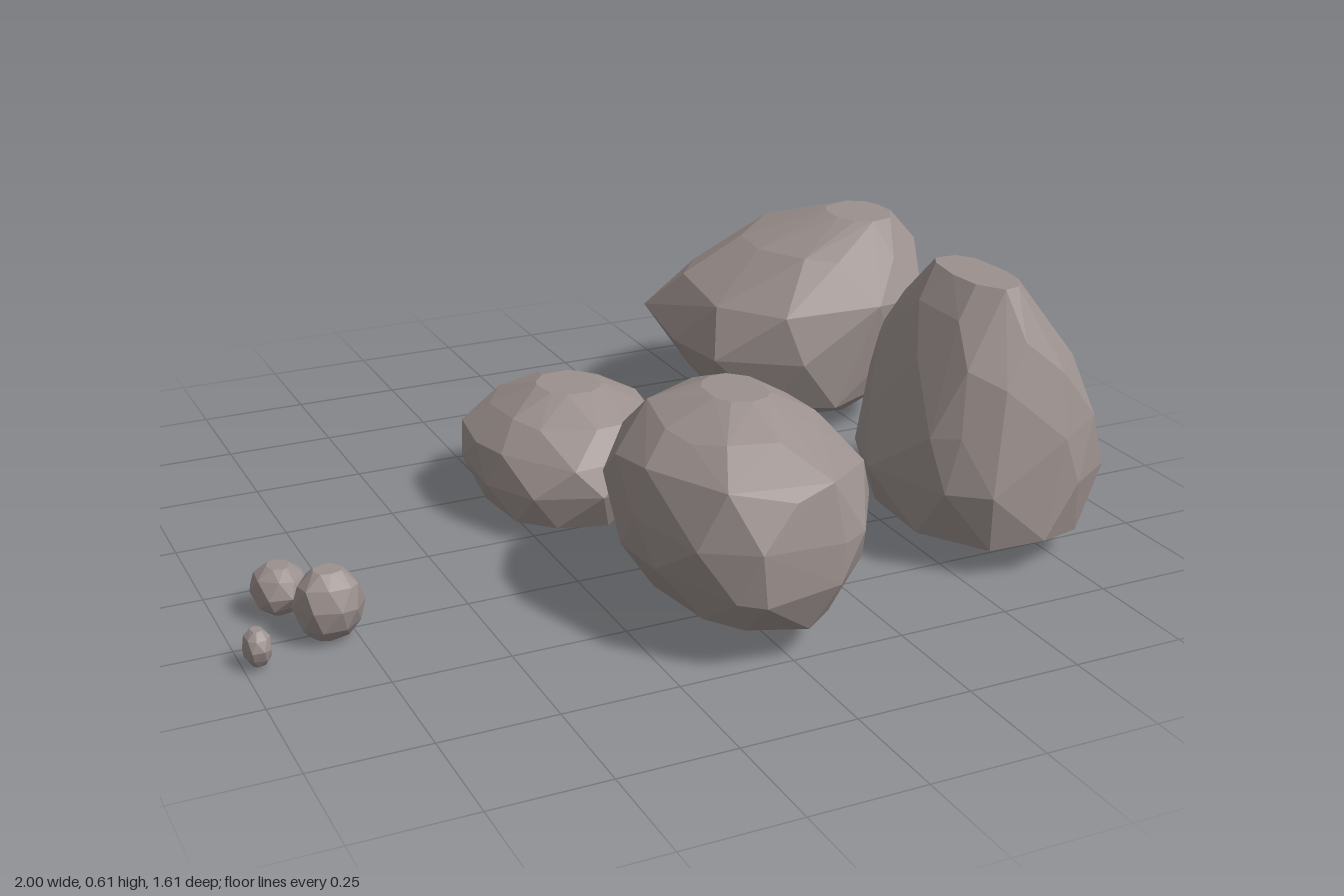
import * as THREE from 'three';
import { ConvexGeometry } from 'three/addons/geometries/ConvexGeometry.js';

const stone = new THREE.MeshStandardMaterial({ color: 0x9b908d, flatShading: true });

function seeded(seed) {
  let s = seed * 7919 + 17;
  return () => (s = (s * 16807) % 2147483647) / 2147483647;
}

// Faceted rock: hull around uneven rings, each ring is [y, xMin, xMax, zMin, zMax]
function rock(name, seed, rings, sides = 11, corners = []) {
  const rand = seeded(seed);
  const points = corners.map((c) => new THREE.Vector3(...c));
  const bounds = new THREE.Box3();
  const bulge = (v) => Math.sign(v) * Math.abs(v) ** 0.88;
  rings.forEach(([y, x0, x1, z0, z1], r) => {
    bounds.expandByPoint(new THREE.Vector3(x0, y, z0));
    bounds.expandByPoint(new THREE.Vector3(x1, y, z1));
    const inner = r > 0 && r < rings.length - 1;
    for (let i = 0; i < sides; i++) {
      const a = ((i + (r % 2) / 2 + (rand() - 0.5) * 0.6) / sides) * Math.PI * 2;
      const k = 1 - rand() * 0.05;
      const lift = inner ? (rand() - 0.5) * 0.06 * (rings.at(-1)[0] - rings[0][0]) : 0;
      points.push(new THREE.Vector3(
        (x0 + x1) / 2 + bulge(Math.cos(a)) * k * (x1 - x0) / 2,
        y + lift,
        (z0 + z1) / 2 + bulge(Math.sin(a)) * k * (z1 - z0) / 2
      ));
    }
  });

  // Stretch the jittered points back to the intended extents
  const box = new THREE.Box3().setFromPoints(points);
  const scale = bounds.getSize(new THREE.Vector3()).divide(box.getSize(new THREE.Vector3()));
  points.forEach((p) => p.sub(box.min).multiply(scale).add(bounds.min));

  const mesh = new THREE.Mesh(new ConvexGeometry(points), stone);
  mesh.name = name;
  return mesh;
}

// Small rounded stone filling a box
function pebble(name, seed, [x0, x1], [y0, y1], [z0, z1]) {
  const cx = (x0 + x1) / 2, cz = (z0 + z1) / 2;
  const rings = [[0, 0.5], [0.2, 0.85], [0.5, 1], [0.8, 0.82], [1, 0.4]].map(([t, k]) => [
    y0 + t * (y1 - y0),
    cx + (x0 - cx) * k, cx + (x1 - cx) * k,
    cz + (z0 - cz) * k, cz + (z1 - cz) * k,
  ]);
  return rock(name, seed, rings, 8);
}

export function createModel() {
  const group = new THREE.Group();
  group.name = 'rocks';

  group.add(
    // Rounded boulder at the front
    rock('frontBoulder', 1, [
      [0.035, -0.06, 0.08, 0.32, 0.62],
      [0.08, -0.17, 0.16, 0.25, 0.76],
      [0.17, -0.23, 0.23, 0.2, 0.8],
      [0.27, -0.25, 0.26, 0.19, 0.8],
      [0.37, -0.23, 0.23, 0.23, 0.77],
      [0.44, -0.16, 0.16, 0.3, 0.67],
      [0.49, -0.06, 0.07, 0.4, 0.56],
    ]),
    // Low flattened boulder behind it
    rock('lowBoulder', 2, [
      [0.005, -0.19, -0.01, -0.24, 0],
      [0.04, -0.3, 0.06, -0.34, 0.08],
      [0.12, -0.33, 0.1, -0.4, 0.12],
      [0.19, -0.32, 0.11, -0.41, 0.1],
      [0.25, -0.26, 0.07, -0.36, 0.04],
      [0.3, -0.17, -0.03, -0.22, -0.06],
    ]),
    // Tall tapering boulder
    rock('tallBoulder', 3, [
      [0.04, 0.52, 0.78, 0.2, 0.5],
      [0.07, 0.45, 0.86, 0.12, 0.63],
      [0.2, 0.41, 0.915, 0.1, 0.64],
      [0.32, 0.43, 0.9, 0.08, 0.63],
      [0.44, 0.49, 0.83, 0.09, 0.6],
      [0.53, 0.54, 0.76, 0.14, 0.56],
      [0.61, 0.59, 0.71, 0.22, 0.48],
    ], 10, [[0.89, 0.28, 0.13]]),
    // Broad boulder with its peak toward one side
    rock('broadBoulder', 4, [
      [0.04, 0.55, 0.85, -0.62, -0.3],
      [0.1, 0.42, 0.91, -0.74, -0.2],
      [0.21, 0.35, 0.97, -0.81, -0.19],
      [0.34, 0.41, 1, -0.77, -0.185],
      [0.44, 0.56, 0.98, -0.71, -0.27],
      [0.51, 0.76, 0.92, -0.55, -0.36],
    ], 10, [[0.37, 0.25, -0.7]]),
    // Scattered small stones
    pebble('largePebble', 5, [-0.88, -0.73], [0.015, 0.16], [0.21, 0.34]),
    pebble('middlePebble', 6, [-0.93, -0.81], [0.02, 0.12], [0.07, 0.2]),
    pebble('smallPebble', 7, [-1, -0.94], [0.015, 0.09], [0.3, 0.37])
  );
  return group;
}
